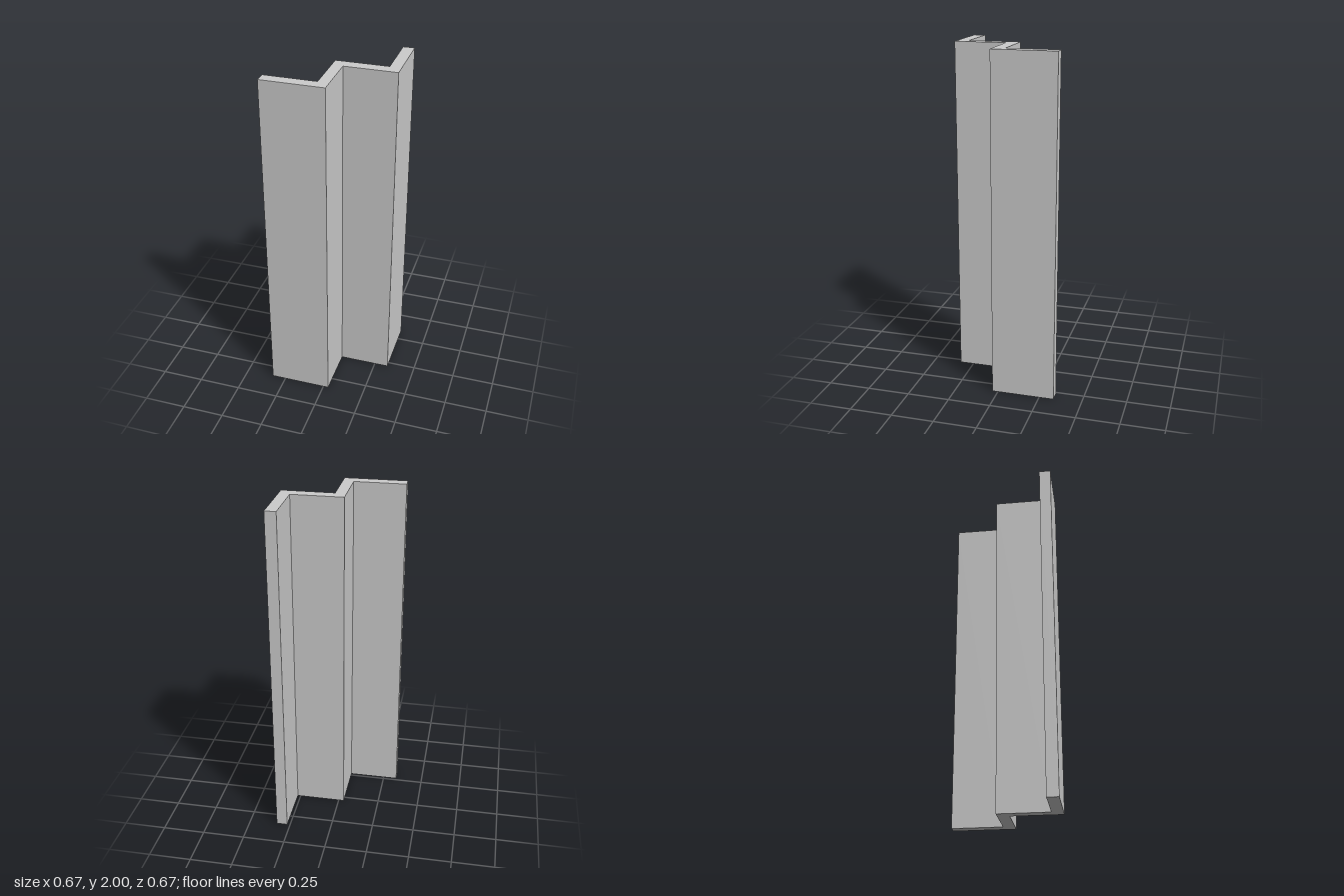
import * as THREE from 'three';

const HEIGHT = 2;

// Stepped floor plan of the folded panel, as [x, z] corners
const PLAN = [
  [-0.333, 0.333], [0.031, 0.333], [0.031, 0.034], [0.333, 0.034], [0.333, -0.335],
  [0.268, -0.335], [0.268, -0.035], [-0.032, -0.035], [-0.032, 0.266], [-0.333, 0.266],
];

export function createModel() {
  const group = new THREE.Group();
  group.name = 'foldedScreen';

  // Zigzag panel: the plan extruded straight up
  const shape = new THREE.Shape(PLAN.map(([x, z]) => new THREE.Vector2(x, -z)));
  const geometry = new THREE.ExtrudeGeometry(shape, { depth: HEIGHT, bevelEnabled: false });
  geometry.rotateX(-Math.PI / 2);

  const panel = new THREE.Mesh(geometry, new THREE.MeshStandardMaterial({ color: 0xcccccc }));
  panel.name = 'zigzagPanel';
  group.add(panel);
  return group;
}
